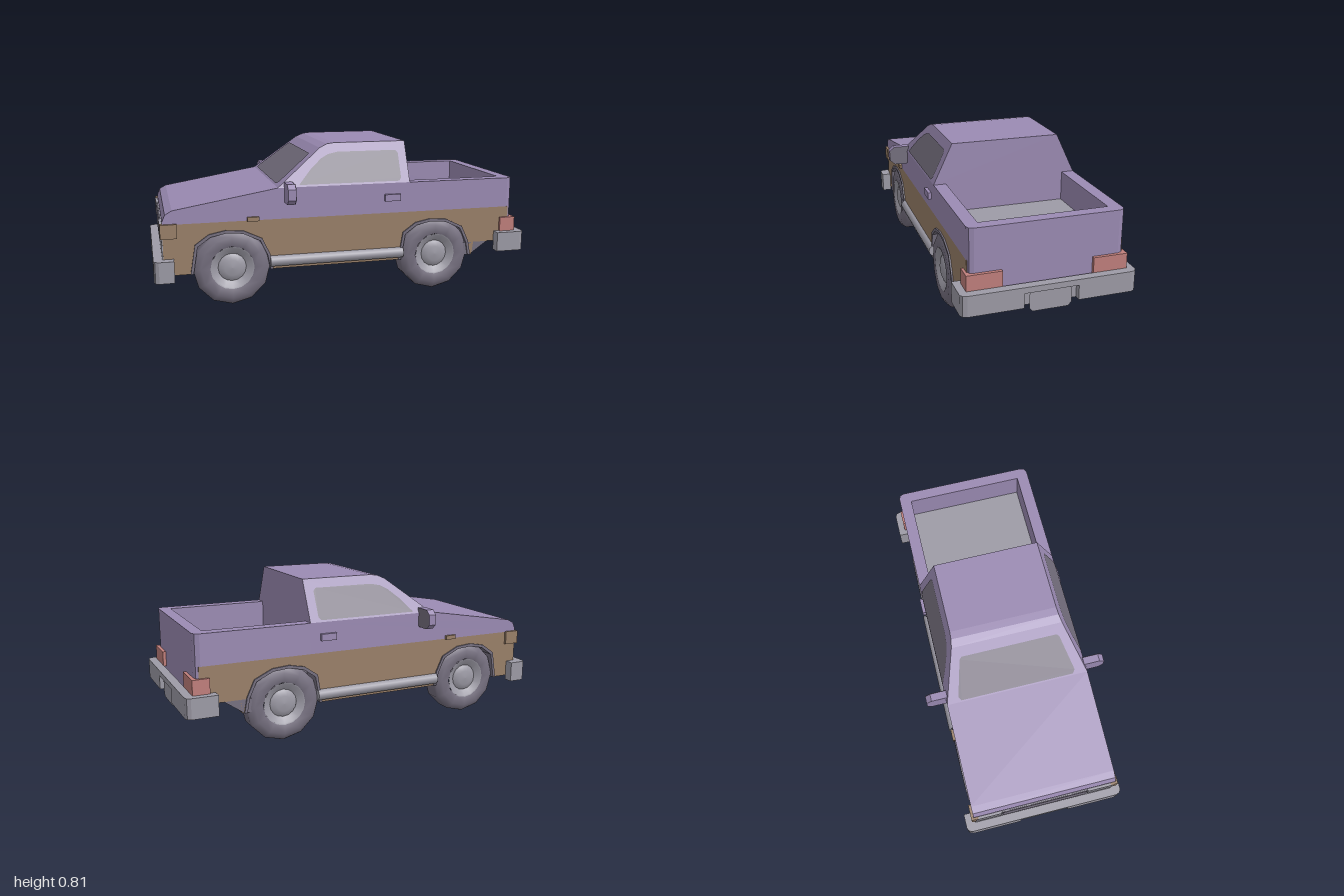
import * as THREE from 'three';

const mat = (name, color, side = THREE.FrontSide) => {
  const m = new THREE.MeshStandardMaterial({ color, side });
  m.name = name;
  return m;
};

export function createModel() {
  const truck = new THREE.Group();
  truck.name = 'pickupTruck';
  const paint = mat('purplePaint', 0x9b8bb3);
  const brown = mat('brownPanels', 0x9a8069);
  const trim = mat('darkRubber', 0x767080);
  const glass = mat('smokedGlass', 0x756f7e, THREE.DoubleSide);
  const metal = mat('greyMetal', 0x9d9ba6, THREE.DoubleSide);
  const red = mat('redLamp', 0xc07f7c);

  const add = (name, geometry, material, parent = truck) => {
    const mesh = new THREE.Mesh(geometry, material);
    mesh.name = name;
    parent.add(mesh);
    return mesh;
  };
  const outline = pts => new THREE.Shape(pts.map(p => new THREE.Vector2(p[0], p[1])));
  // side profile (x, y) swept from z0 to z1
  const prism = (pts, z0, z1) =>
    new THREE.ExtrudeGeometry(outline(pts), { depth: z1 - z0, bevelEnabled: false }).translate(0, 0, z0);
  // plan outline (x, z) swept from y0 to y1
  const plan = (pts, y0, y1) =>
    new THREE.ExtrudeGeometry(outline(pts), { depth: y1 - y0, bevelEnabled: false })
      .rotateX(Math.PI / 2).translate(0, y1, 0);
  const box = (x0, x1, y0, y1, z0, z1) =>
    new THREE.BoxGeometry(x1 - x0, y1 - y0, z1 - z0)
      .translate((x0 + x1) / 2, (y0 + y1) / 2, (z0 + z1) / 2);
  // box on the +z side or its mirror on -z
  const sideBox = (s, x0, x1, y0, y1, z0, z1) =>
    s > 0 ? box(x0, x1, y0, y1, z0, z1) : box(x0, x1, y0, y1, -z1, -z0);
  const move = (geometry, rule) => {
    const p = geometry.attributes.position;
    for (let i = 0; i < p.count; i++) p.setXYZ(i, ...rule(p.getX(i), p.getY(i), p.getZ(i)));
    geometry.computeVertexNormals();
    return geometry;
  };

  const W = 0.385;
  const axles = [-0.61, 0.49];
  const archPts = [[-0.21, 0.18], [-0.185, 0.33], [-0.115, 0.38], [-0.03, 0.397],
    [0.06, 0.39], [0.155, 0.345], [0.195, 0.26], [0.21, 0.18]];
  const arch = x => archPts.map(p => [x + p[0], p[1]]);

  // lower body with wheel openings
  const lower = [[-0.95, 0.18], ...arch(axles[0]), ...arch(axles[1]),
    [0.71, 0.18], [0.72, 0.25], [0.92, 0.25], [0.92, 0.44], [-0.95, 0.44]];
  add('underbody', box(-0.95, 0.7, 0.18, 0.435, -0.27, 0.27), brown);
  for (const s of [1, -1]) {
    add('lowerSide', s > 0 ? prism(lower, 0.26, W) : prism(lower, -W, -0.26), brown);
    for (const x of axles) {
      // wheel well lining and raised lip
      add('wheelWell', s > 0 ? prism(arch(x), 0.268, 0.276) : prism(arch(x), -0.276, -0.268), trim);
      const inner = archPts.map(p => [x + p[0] * 0.93, 0.18 + (p[1] - 0.18) * 0.93]).reverse();
      const lip = [...arch(x), ...inner];
      add('archLip', s > 0 ? prism(lip, 0.28, 0.393) : prism(lip, -0.393, -0.28), trim);
    }
  }
  add('rearValance', prism([[0.66, 0.18], [0.7, 0.18], [0.8, 0.25], [0.66, 0.25]], -W, W), trim);
  add('rearFloor', box(0.66, 0.92, 0.25, 0.43, -0.26, 0.26), paint);

  // hood and cabin base
  add('hood', prism([[-0.95, 0.44], [0.34, 0.44], [0.34, 0.6], [-0.37, 0.6],
    [-0.9, 0.51], [-0.935, 0.49], [-0.95, 0.455]], -W, W), paint);

  // bed walls, tailgate and floor
  add('bedWalls', plan([[0.34, W], [0.91, W], [0.932, 0.376], [0.94, 0.355], [0.94, -0.355],
    [0.932, -0.376], [0.91, -W], [0.34, -W], [0.34, -0.32], [0.88, -0.32], [0.88, 0.32],
    [0.34, 0.32]], 0.44, 0.6), paint);
  add('tailgate', plan([[0.9, 0.384], [0.912, 0.384], [0.932, 0.376], [0.94, 0.355],
    [0.94, -0.355], [0.932, -0.376], [0.912, -0.384], [0.9, -0.384]], 0.25, 0.44), paint);
  add('bedFloor', box(0.34, 0.885, 0.432, 0.446, -0.325, 0.325), metal);

  // cab narrowing toward the roof
  const halfWidth = y => W - (y - 0.6) * 0.1 / 0.21;
  add('cab', move(prism([[-0.37, 0.6], [0.34, 0.6], [0.34, 0.81], [-0.05, 0.81],
    [-0.09, 0.805], [-0.13, 0.787]], -W, W),
  (x, y, z) => [x, y, Math.sign(z) * halfWidth(y)]), paint);
  for (const s of [1, -1]) {
    add('sideWindow', move(new THREE.ShapeGeometry(outline([[-0.26, 0.61], [0.28, 0.61],
      [0.293, 0.625], [0.293, 0.75], [0.28, 0.765], [-0.04, 0.765], [-0.09, 0.755],
      [-0.13, 0.735], [-0.19, 0.685]])), (x, y) => [x, y, s * (halfWidth(y) + 0.004)]), glass);
  }
  // windshield: outline in (z, x), laid on the sloped face
  add('windshield', move(new THREE.ShapeGeometry(outline([[-0.305, -0.362], [0.305, -0.362],
    [0.318, -0.345], [0.268, -0.185], [0.255, -0.175], [-0.255, -0.175], [-0.268, -0.185],
    [-0.318, -0.345]])),
  (z, x) => [x - 0.003, 0.6 + (x + 0.37) * 0.187 / 0.24 + 0.004, z]), glass);

  // front end
  add('frontPanel', box(-0.956, -0.949, 0.25, 0.44, -0.38, 0.38), metal);
  add('grille', box(-0.961, -0.955, 0.32, 0.435, -0.23, 0.23), trim);
  for (const s of [1, -1]) {
    add('headlight', sideBox(s, -0.964, -0.955, 0.37, 0.44, 0.235, 0.375), metal);
    add('cornerLamp', sideBox(s, -0.962, -0.88, 0.37, 0.443, 0.36, 0.398), brown);
    add('sideMarker', sideBox(s, -0.53, -0.47, 0.437, 0.459, 0.375, 0.399), brown);
    add('tailLight', sideBox(s, 0.87, 0.957, 0.3, 0.382, 0.225, 0.398), red);
    add('doorHandle', sideBox(s, 0.2, 0.285, 0.505, 0.541, 0.375, 0.402), paint);

    // mirror
    const head = s > 0 ? 1 : -1;
    const mirrorPts = [[0.375, 0.545], [0.39, 0.525], [0.46, 0.525], [0.488, 0.55],
      [0.488, 0.605], [0.46, 0.628], [0.375, 0.628]].map(p => [p[0] * head, p[1]]);
    add('mirror', prism(mirrorPts, -0.02, 0.02).rotateY(-Math.PI / 2).translate(-0.317, 0, 0), paint);
    add('mirrorGlass', new THREE.ShapeGeometry(outline(mirrorPts))
      .rotateY(-Math.PI / 2).translate(-0.295, 0, 0), glass);

    // side step tube
    add('sideStep', new THREE.CylinderGeometry(0.03, 0.03, 0.72, 12)
      .rotateZ(Math.PI / 2).translate(-0.055, 0.22, s * 0.38), metal);
  }

  // wrap-around bumpers with a notch for the plate
  const bumper = (name, d, end, y0, notchTop, y1) => {
    const g = new THREE.Group();
    g.name = name;
    truck.add(g);
    const half = [[end, 0.435], [0.975, 0.435], [0.993, 0.425], [1, 0.405]];
    const back = [[0.955, W], [end, W]];
    const flip = p => [p[0], -p[1]];
    const full = [...half, ...[...half].reverse().map(flip), ...[...back].reverse().map(flip), ...back];
    const sx = pts => pts.map(p => [p[0] * d, p[1]]);
    add('bumperTop', plan(sx(full), notchTop, y1), metal, g);
    const part = [...half, [1, 0.135], [0.955, 0.135], ...back];
    for (const s of [1, -1]) {
      add('bumperSide', plan(sx(part.map(p => [p[0], p[1] * s])), y0, notchTop), metal, g);
    }
    add('notchBack', box(d * 0.962 - 0.006, d * 0.962 + 0.006, y0, notchTop, -0.137, 0.137), metal, g);
    // number plate blank
    const b = notchTop - 0.105, t = notchTop - 0.002;
    add('plate', new THREE.ShapeGeometry(outline([[-0.09, b], [0.09, b], [0.105, b + 0.02],
      [0.105, t - 0.015], [0.095, t], [-0.095, t], [-0.105, t - 0.015], [-0.105, b + 0.02]]))
      .rotateY(d * Math.PI / 2).translate(d * 0.985, 0, 0), metal, g);
  };
  bumper('frontBumper', -1, 0.9, 0.155, 0.225, 0.265);
  bumper('rearBumper', 1, 0.84, 0.2, 0.275, 0.305);

  // wheels: lathe profiles of (radius, outward distance)
  const lathe = (pts, n) => new THREE.LatheGeometry(pts.map(p => new THREE.Vector2(p[0], p[1])), n)
    .rotateX(Math.PI / 2);
  for (const x of axles) {
    for (const s of [1, -1]) {
      const wheel = new THREE.Group();
      wheel.name = 'wheel';
      wheel.position.set(x, 0.2, s * 0.28);
      if (s < 0) wheel.rotation.y = Math.PI;
      truck.add(wheel);
      add('tyre', lathe([[0, 0], [0.198, 0], [0.198, 0], [0.198, 0.085], [0.19, 0.097],
        [0.16, 0.115], [0.115, 0.115], [0.108, 0.1]], 12), trim, wheel);
      add('rim', lathe([[0.112, 0.114], [0.105, 0.112], [0.074, 0.095], [0.07, 0.09]], 16), metal, wheel);
      add('hubcap', lathe([[0.074, 0.09], [0.068, 0.1], [0.04, 0.11], [0, 0.113]], 16), metal, wheel);
    }
  }
  return truck;
}
